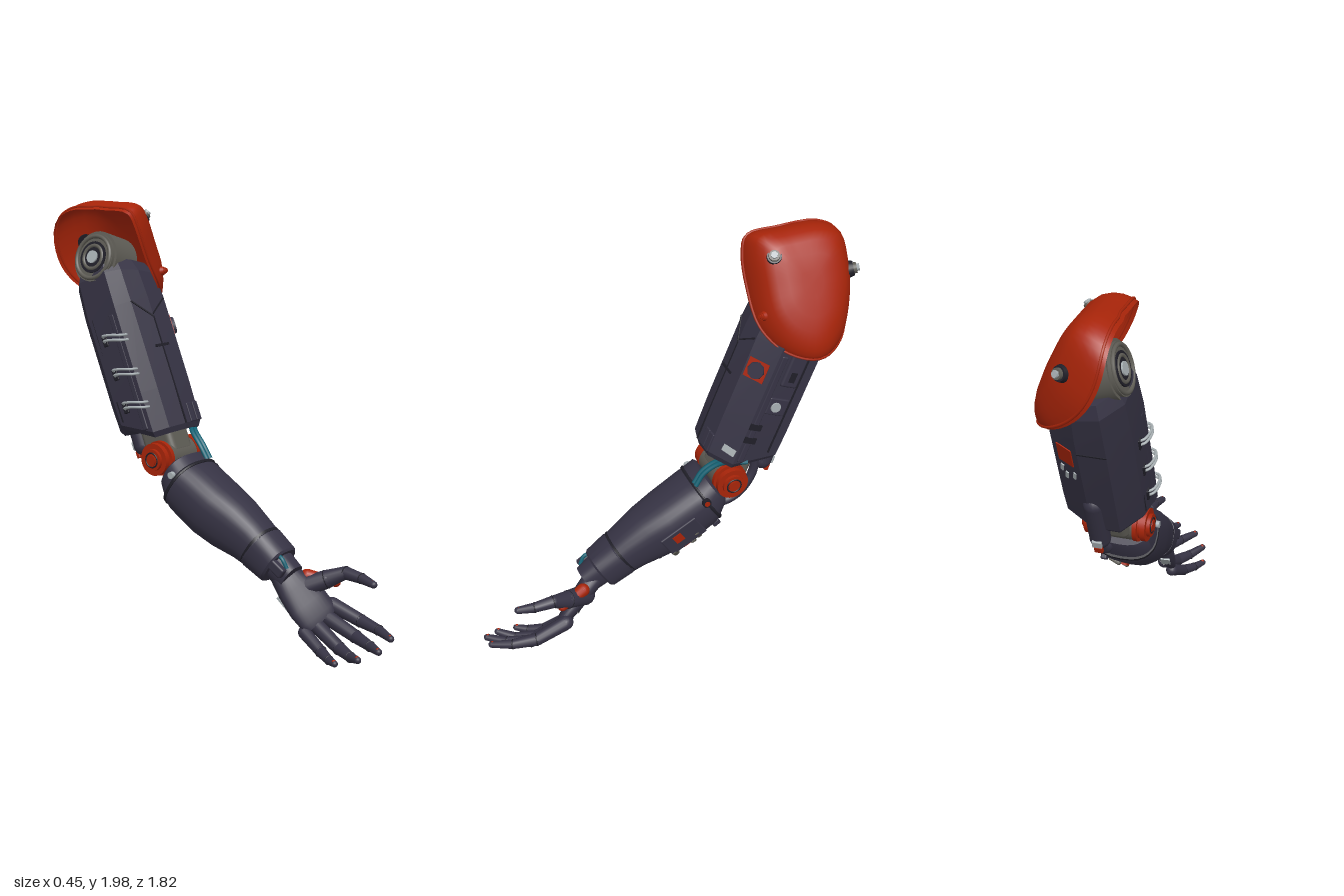
import * as THREE from 'three';
import { toCreasedNormals } from 'three/addons/utils/BufferGeometryUtils.js';
import { RoundedBoxGeometry } from 'three/addons/geometries/RoundedBoxGeometry.js';

const V = (x, y, z) => new THREE.Vector3(x, y, z);
const paint = (name, color, side = THREE.FrontSide) => {
  const m = new THREE.MeshStandardMaterial({ color, side });
  m.name = name;
  return m;
};

// Skin over rings of points, with optional end caps.
function loft(rings, crease = 0.7, capStart = true, capEnd = true) {
  const n = rings[0].length, pos = [];
  const tri = (...p) => p.forEach(v => pos.push(v.x, v.y, v.z));
  const mean = r => r.reduce((s, p) => s.add(p), V(0, 0, 0)).divideScalar(n);
  for (let i = 0; i < rings.length - 1; i++) for (let j = 0; j < n; j++) {
    const k = (j + 1) % n, a = rings[i][j], b = rings[i][k], c = rings[i + 1][j], d = rings[i + 1][k];
    tri(a, c, b);
    tri(b, c, d);
  }
  const first = rings[0], last = rings[rings.length - 1], mf = mean(first), ml = mean(last);
  for (let j = 0; j < n; j++) {
    const k = (j + 1) % n;
    if (capStart) tri(mf, first[j], first[k]);
    if (capEnd) tri(ml, last[k], last[j]);
  }
  const g = new THREE.BufferGeometry();
  g.setAttribute('position', new THREE.Float32BufferAttribute(pos, 3));
  return toCreasedNormals(g, crease);
}

// Oval ring at height y: half width, and reach towards +z and -z.
const soft = v => Math.sign(v) * Math.abs(v) ** 0.8;
function oval(y, hx, zp, zn, n = 28) {
  return Array.from({ length: n }, (_, j) => {
    const t = j / n * Math.PI * 2;
    return V(hx * soft(Math.cos(t)), y, (zp - zn) / 2 + (zp + zn) / 2 * soft(Math.sin(t)));
  });
}

export function createModel() {
  const dark = paint('dark shell', 0x363344), red = paint('red orange armour', 0xa72409);
  const redOpen = paint('red orange pad', 0xa72409, THREE.DoubleSide);
  const grey = paint('grey metal', 0x5e5c55), light = paint('light metal', 0xa8b0b3);
  const teal = paint('teal cable', 0x126274), black = paint('black seam', 0x201f28);
  const root = new THREE.Group();
  root.name = 'mechanicalArm';

  const add = (parent, name, geo, mat, pos = [0, 0, 0], rot = [0, 0, 0]) => {
    const m = new THREE.Mesh(geo, mat);
    m.name = name;
    m.position.set(...pos);
    m.rotation.set(...rot);
    parent.add(m);
    return m;
  };
  const group = (name, pos, rotX = 0, rotZ = 0) => {
    const g = new THREE.Group();
    g.name = name;
    g.position.set(...pos);
    g.rotation.set(rotX, 0, rotZ);
    root.add(g);
    return g;
  };
  const box = (p, name, mat, size, pos, rot, r = 0) => add(p, name,
    r ? new RoundedBoxGeometry(...size, 3, r) : new THREE.BoxGeometry(...size), mat, pos, rot);
  // Disc or drum lying along x.
  const drum = (p, name, mat, r, w, pos) =>
    add(p, name, new THREE.CylinderGeometry(r, r, w, 32), mat, pos, [0, 0, Math.PI / 2]);
  const tube = (p, name, mat, r, pts) => add(p, name,
    new THREE.TubeGeometry(new THREE.CatmullRomCurve3(pts.map(a => V(...a))), 28, r, 8), mat);
  // Tapered segment with ball ends between two points.
  const link = (p, name, mat, a, b, ra, rb) => {
    const A = V(...a), B = V(...b), d = B.clone().sub(A), g = new THREE.Group();
    g.name = name;
    g.position.copy(A);
    g.quaternion.setFromUnitVectors(V(0, 1, 0), d.clone().normalize());
    add(g, name + 'Shaft', new THREE.CylinderGeometry(rb, ra, d.length(), 14, 1, true), mat, [0, d.length() / 2, 0]);
    add(g, name + 'Base', new THREE.SphereGeometry(ra, 14, 10), mat);
    add(g, name + 'End', new THREE.SphereGeometry(rb, 14, 10), mat, [0, d.length(), 0]);
    p.add(g);
  };

  // Shoulder pad: a rounded outline domed along its tilted normal, its front and back edges wrapping inwards.
  const outline = [[-.41, -.21], [-.435, -.275], [-.58, -.288], [-.78, -.285], [-.88, -.23], [-.91, -.06],
    [-.885, .09], [-.8, .25], [-.66, .325], [-.52, .27], [-.43, .14], [-.408, -.05]];
  const edge = new THREE.CatmullRomCurve3(outline.map(([z, u]) => V(u, 0, z)), true).getPoints(48).slice(0, 48);
  const pad = group('shoulderPad', [.015, 1.72, -.65]);
  const padRing = r => edge.map(p => {
    const u = p.x * r, wrap = p.z > -.65 ? .065 : .125;
    const h = (.125 - .15 * u) * (1 - r ** 4) ** .5 - wrap * Math.max(0, 1 - (p.x / .32) ** 2) * r ** 6;
    return V(.567 * u + .823 * h, -.823 * u + .567 * h, (p.z + .65) * r);
  });
  add(pad, 'padShell', loft([1, .99, .96, .9, .8, .65, .45, .2].map(padRing), 1.2, false), redOpen);
  add(pad, 'padRim', new THREE.TubeGeometry(new THREE.CatmullRomCurve3(padRing(.995), true), 72, .007, 6, true), red);
  const padBolt = (pos, dir, s) => {
    const g = new THREE.Group();
    g.name = 'padBolt';
    g.position.set(...pos).sub(pad.position);
    g.quaternion.setFromUnitVectors(V(0, 1, 0), V(...dir).normalize());
    add(g, 'boltSocket', new THREE.CylinderGeometry(.036 * s, .044 * s, .03 * s, 20), s < .6 ? red : black);
    add(g, 'boltCollar', new THREE.CylinderGeometry(.027 * s, .03 * s, .045 * s, 20), s < .6 ? red : grey, [0, .008 * s, 0]);
    add(g, 'boltHead', new THREE.CylinderGeometry(.018 * s, .02 * s, .06 * s, 6), s < .6 ? red : light, [0, .014 * s, 0]);
    pad.add(g);
  };
  padBolt([.025, 1.91, -.5], [.65, .65, .3], .9);
  padBolt([.03, 1.78, -.875], [.35, .25, -.9], .9);
  padBolt([.085, 1.66, -.428], [.3, .2, .9], .5);

  // Shoulder joint: tilted grey drum with a ringed hub on its inner face
  const shoulder = group('shoulder', [-.125, 1.72, -.65], 0, -.3);
  drum(shoulder, 'shoulderJoint', grey, .128, .15, [.06, 0, 0]);
  drum(shoulder, 'shoulderFace', grey, .115, .18, [.06, 0, 0]);
  drum(shoulder, 'shoulderHub', black, .075, .012, [-.03, 0, 0]);
  drum(shoulder, 'shoulderAxle', light, .03, .02, [-.034, 0, 0]);
  for (const r of [.055, .1]) add(shoulder, 'shoulderRing', new THREE.TorusGeometry(r, .01, 8, 32), grey, [-.032, 0, 0], [0, Math.PI / 2, 0]);

  // Upper arm: faceted shell, local y runs up the arm from the elbow.
  const upper = group('upperArm', [-.015, .81, -.315], -.382);
  const section = [[.173, -.11], [.173, .09], [.08, .184], [-.035, .19], [-.13, .165], [-.178, .1],
    [-.178, -.08], [-.09, -.178], [.04, -.178]];
  const notch = z => z < -.15 ? .06 : z < 0 ? .08 : 0;
  add(upper, 'upperArmShell', loft([[.085, .9], [.11, .98], [.3, 1], [.72, 1], [.85, .95], [.91, .8]].map(([y, s]) =>
    section.map(([x, z]) => V(x * s, y + (y < .2 ? notch(z) : 0) - (y > .8 ? x * .2 : 0), z * s))), .25), dark);
  // Panel seams
  box(upper, 'frontSeam', black, [.007, .52, .006], [-.035, .37, .189]);
  box(upper, 'chevronSeamLeft', black, [.13, .007, .006], [.02, .675, .187], [0, .05, .55]);
  box(upper, 'chevronSeamRight', black, [.13, .007, .006], [-.085, .675, .178], [0, -.25, -.75]);
  for (const s of [-1, 1]) {
    box(upper, 'sideSeam', black, [.006, .5, .007], [s * .175, .45, -.06]);
    box(upper, 'sideRail', dark, [.016, .56, .03], [s * .172, .41, .062], [0, 0, 0], .006);
  }
  box(upper, 'crossSeam', black, [.09, .012, .008], [-.035, .49, .189]);
  // Outer side: raised housing, bolt plate, vents
  box(upper, 'sideHousing', dark, [.035, .19, .085], [.17, .64, -.01], [0, 0, 0], .012);
  box(upper, 'housingSlot', black, [.008, .05, .03], [.186, .6, -.01]);
  box(upper, 'boltPlate', dark, [.02, .085, .1], [.174, .44, .0], [0, 0, 0], .006);
  drum(upper, 'sideBolt', light, .024, .024, [.18, .44, .01]);
  for (const y of [.25, .32]) box(upper, 'sideVent', black, [.008, .03, .06], [.178, y, .06]);
  // Front corner: red square with round cap, pale label
  box(upper, 'cornerSquare', red, [.098, .095, .009], [.12, .578, .143], [0, .78, 0]);
  add(upper, 'cornerCap', new THREE.CylinderGeometry(.039, .043, .03, 8), dark, [.123, .578, .146], [Math.PI / 2, 0, -.78]);
  box(upper, 'cornerLabel', light, [.065, .034, .009], [.14, .165, .119], [0, .78, -.1]);
  for (const x of [.02, .062]) box(upper, 'frontTab', dark, [.036, .09, .016], [x, .155, .184], [0, .05, 0], .004);
  // Back facet: red panel and worn plates
  box(upper, 'backPanel', red, [.085, .1, .009], [.108, .6, -.144], [0, -.473, 0]);
  for (const [x, y, z] of [[.14, .5, -.129], [.12, .465, -.139], [.075, .49, -.161]])
    box(upper, 'wornPlate', light, [.016, .042, .007], [x, y, z], [0, -.473, .25]);
  box(upper, 'backSeam', black, [.13, .007, .006], [-.025, .65, -.178]);
  // Elbow strut
  link(upper, 'elbowStrut', dark, [.02, .3, -.15], [.02, .08, -.155], .05, .048);
  box(upper, 'strutClip', light, [.045, .04, .02], [.02, .09, -.2], [0, 0, 0], .005);
  box(upper, 'strutTip', red, [.04, .035, .02], [.02, .045, -.193], [0, 0, 0], .005);
  // Inner side wire loops
  for (const y of [.26, .42, .585]) {
    for (const d of [-.012, .012]) tube(upper, 'wireLoop', light, .006,
      [[-.165, y + d, -.02], [-.2, y + d + .01, -.005], [-.21, y + d, .055], [-.195, y + d - .015, .1], [-.15, y + d - .02, .115]]);
    box(upper, 'wireSocket', black, [.014, .055, .03], [-.178, y, -.015], [0, 0, 0], .004);
  }

  // Elbow: grey core with stepped red drums on each end
  const elbow = group('elbow', [-.015, .81, -.29]);
  drum(elbow, 'elbowCore', grey, .078, .2, [0, 0, 0]);
  box(elbow, 'elbowNeck', grey, [.15, .22, .18], [0, .09, -.05], [-.38, 0, 0], .03);
  for (const s of [-1, 1]) {
    for (const [r, w, x] of [[.082, .02, .095], [.065, .03, .11], [.076, .025, .13], [.052, .02, .148]])
      drum(elbow, 'elbowDrum', red, r, w, [s * x, 0, 0]);
    add(elbow, 'drumGroove', new THREE.TorusGeometry(.034, .004, 8, 28), black, [s * .157, 0, 0], [0, Math.PI / 2, 0]);
    drum(elbow, 'drumCap', red, .025, .012, [s * .157, 0, 0]);
  }
  for (const d of [0, .024]) tube(root, 'tealCable', teal, .011,
    [[.04 + d, .8, -.13], [.04 + d, .86, -.17], [.06 + d, .91, -.23], [.1 + d, .935, -.28], [.13 + d, .94, -.35]]);
  tube(root, 'elbowHose', dark, .022, [[.04, .9, -.43], [.04, .8, -.43], [.04, .7, -.37], [.04, .66, -.3], [.04, .66, -.2]]);

  // Forearm: local y runs towards the wrist, local -z is the upper side.
  const fore = group('forearm', [-.015, .745, -.22], 2.157);
  const skin = rows => loft(rows.map(r => oval(...r)), .6);
  add(fore, 'forearmShell', skin([[-.02, .125, .09, .085], [-.01, .14, .1, .1], [.06, .152, .15, .1], [.09, .152, .162, .105],
    [.25, .146, .165, .113], [.36, .13, .15, .118], [.48, .112, .115, .108], [.56, .105, .1, .098]]), dark);
  add(fore, 'wristCuff', skin([[.535, .1, .1, .1], [.54, .108, .108, .107], [.65, .1, .098, .098], [.66, .092, .09, .09]]), dark);
  add(fore, 'cuffGroove', skin([[.522, .109, .107, .106], [.535, .107, .105, .104]]), black);
  add(fore, 'wristJoint', skin([[.65, .07, .075, .075], [.74, .06, .07, .065]]), dark);
  add(fore, 'elbowCollar', skin([[.045, .155, .15, .104], [.052, .158, .153, .107], [.06, .156, .155, .104]]), black);
  // Plate set on the forearm skin at height y and angle t, from the outer side (0) to the underside
  const onFore = (name, mat, size, y, t, r = 0) => box(fore, name, mat, size,
    [(.157 - .05 * y) * soft(Math.cos(t)), y, .027 + .141 * soft(Math.sin(t))], [0, -t, .07], r);
  onFore('sidePanel', dark, [.016, .2, .12], .24, .06, .007);
  onFore('panelSquare', red, [.009, .045, .045], .262, 0).position.x += .009;
  for (const [y, t] of [[.185, .42], [.225, .75], [.325, .55], [.19, 1.2], [.325, 1.2]])
    onFore('panelSlot', grey, [.02, .028, .06], y, t, .008);
  for (const [y, t] of [[.26, 1.08], [.255, 1.4]]) onFore('underAccent', red, [.009, .046, .032], y, t);
  drum(fore, 'sideScrewSeat', black, .021, .02, [.146, .055, -.03]);
  drum(fore, 'sideScrew', red, .013, .026, [.146, .055, -.03]);
  drum(fore, 'innerScrew', light, .016, .02, [-.148, .03, -.03]);
  add(fore, 'underBolt', new THREE.CylinderGeometry(.018, .018, .03, 12), black, [.03, .4, .14], [Math.PI / 2, 0, 0]);
  box(fore, 'underKnob', dark, [.03, .04, .03], [.09, .09, .15], [0, 0, 0], .008);
  tube(fore, 'wristCable', teal, .009, [[-.05, .65, -.07], [-.055, .68, -.072], [-.05, .72, -.05]]);
  box(fore, 'wristPod', dark, [.035, .08, .05], [-.075, .69, -.03], [0, 0, 0], .01);

  // Palm: x across the knuckles, y towards the fingers, z out of the hand's back.
  const hand = group('palm', [-.015, .36, .335]);
  const Y = V(.13, -.7, .68).normalize(), X = V(.78, .515, .354);
  X.addScaledVector(Y, -X.dot(Y)).normalize();
  hand.quaternion.setFromRotationMatrix(new THREE.Matrix4().makeBasis(X, Y, X.clone().cross(Y)));
  add(hand, 'palmShell', skin([[-.02, .055, .045, .045], [.03, .068, .05, .05], [.11, .088, .048, .045], [.2, .1, .042, .035],
    [.27, .098, .034, .028], [.3, .08, .02, .018]]), dark);
  box(hand, 'knuckleSeam', black, [.14, .006, .008], [0, .2, .039]);
  box(hand, 'handPlate', light, [.045, .09, .009], [-.075, .135, .029], [0, -.75, 0]);

  // Fingers: joint positions from knuckle to tip
  const fingers = {
    indexFinger: [[.105, .205, .54], [.115, .155, .69], [.09, .14, .8], [.045, .13, .89]],
    middleFinger: [[.06, .155, .55], [.055, .1, .7], [.005, .09, .81], [-.05, .095, .888]],
    ringFinger: [[.01, .12, .53], [-.015, .055, .66], [-.06, .045, .75], [-.11, .06, .82]],
    littleFinger: [[-.04, .1, .49], [-.07, .042, .6], [-.11, .028, .67], [-.14, .03, .72]],
    thumb: [[.03, .28, .42], [.085, .325, .52], [.118, .362, .6], [.115, .352, .69], [.095, .342, .765]],
  };
  for (const [name, pts] of Object.entries(fingers)) {
    const radii = name === 'thumb' ? [.05, .043, .03, .024, .017] : name === 'littleFinger' ? [.03, .026, .02, .015] : [.035, .03, .023, .016];
    for (let i = 0; i < pts.length - 1; i++) {
      link(root, name, dark, pts[i], pts[i + 1], radii[i], radii[i + 1]);
      if (i) {
        const ring = add(root, name + 'Joint', new THREE.TorusGeometry(radii[i] * .97, .003, 6, 18), black, pts[i]);
        ring.lookAt(V(...pts[i + 1]));
      }
    }
    const tip = pts[pts.length - 1];
    add(root, name + 'Pad', new THREE.SphereGeometry(.009, 10, 8), red, [tip[0], tip[1] + .009, tip[2] - .004]);
  }
  link(root, 'thumbGuard', red, [.055, .333, .435], [.11, .312, .555], .032, .022);
  return root;
}
